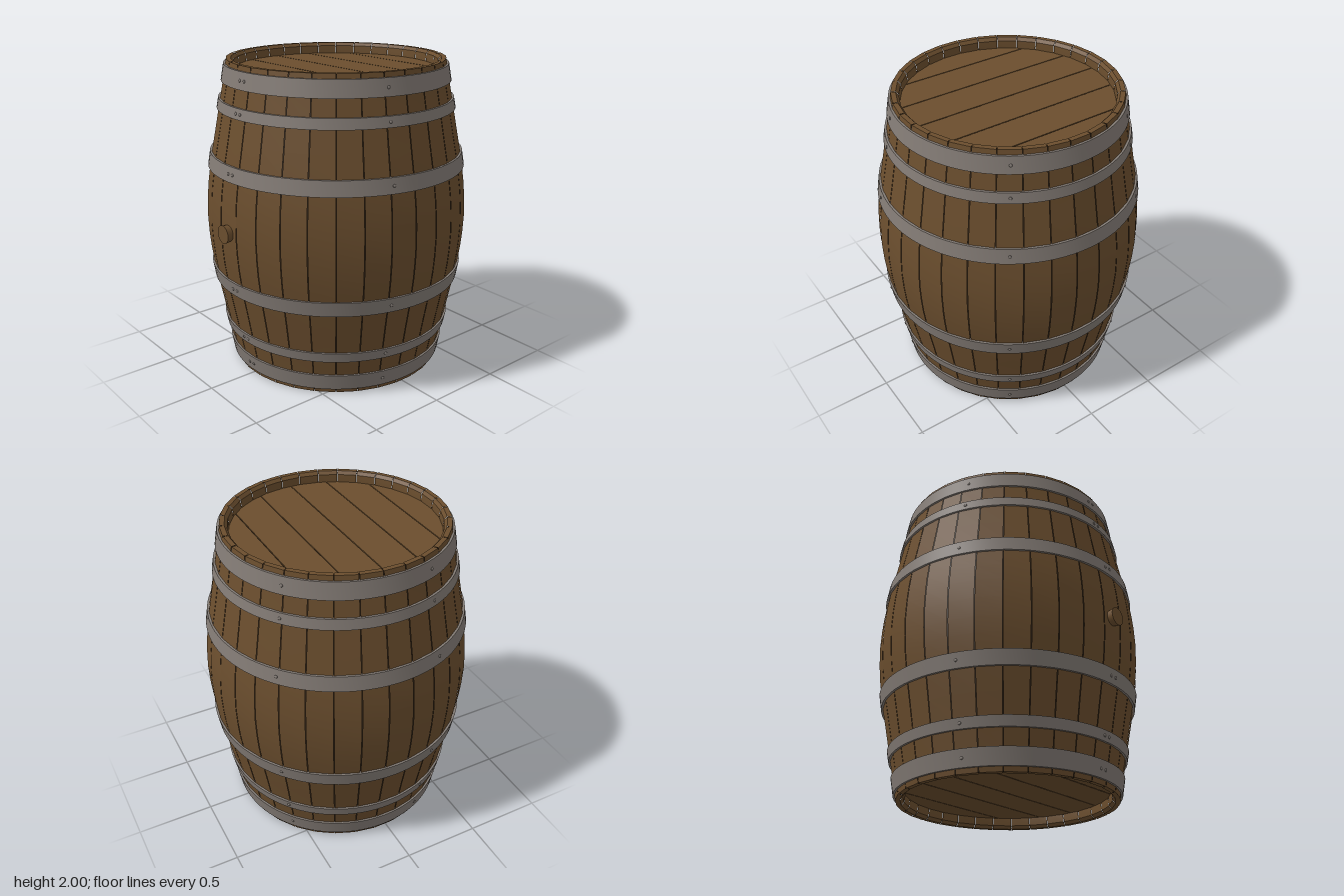
import * as THREE from 'three';
import { toCreasedNormals } from 'three/addons/utils/BufferGeometryUtils.js';

const STAVES = 32;
const STEP = (Math.PI * 2) / STAVES;
const V = (r, y) => new THREE.Vector2(r, y);

// Upper half of the bulging outline, as [height above the middle, radius]
const OUTLINE = [[0, 0.848], [0.12, 0.843], [0.22, 0.834], [0.33, 0.818], [0.42, 0.803],
  [0.56, 0.775], [0.7, 0.748], [0.87, 0.715], [1, 0.692]];

function radiusAt(y) {
  const d = Math.abs(y - 1);
  for (let i = 1; i < OUTLINE.length; i++) {
    const [d0, r0] = OUTLINE[i - 1], [d1, r1] = OUTLINE[i];
    if (d <= d1) return r0 + ((r1 - r0) * (d - d0)) / (d1 - d0);
  }
  return 0.692;
}

export function createModel() {
  const wood = new THREE.MeshStandardMaterial({ color: 0x6b4e2e });
  wood.name = 'oak';
  const iron = new THREE.MeshStandardMaterial({ color: 0x837b75 });
  iron.name = 'iron';
  const dark = new THREE.MeshStandardMaterial({ color: 0x2a1e12 });
  dark.name = 'darkSeam';

  const barrel = new THREE.Group();
  barrel.name = 'barrel';
  barrel.position.z = -0.018;
  const add = (name, geometry, material, parent = barrel) => {
    const mesh = new THREE.Mesh(geometry, material);
    mesh.name = name;
    parent.add(mesh);
    return mesh;
  };

  // Staves: a closed profile swept over one flat-faced segment each
  const heights = [...OUTLINE.slice(1).reverse().map(([d]) => 1 - d), ...OUTLINE.map(([d]) => 1 + d)];
  const outer = heights.map((y) => V(radiusAt(y), y));
  const inner = [V(0.662, 2), V(0.645, 1.98), V(0.64, 1.9), V(0.77, 1.2),
    V(0.77, 0.8), V(0.64, 0.1), V(0.645, 0.02), V(0.662, 0)];
  const gap = 0.005;
  const staveGeometry = toCreasedNormals(
    new THREE.LatheGeometry([...outer, ...inner, outer[0].clone()], 1, (gap - STEP) / 2, STEP - gap), 0.4);
  const staves = new THREE.Group();
  staves.name = 'staves';
  barrel.add(staves);
  for (let i = 0; i < STAVES; i++) add('stave', staveGeometry, wood, staves).rotation.y = i * STEP;

  // Dark lining seen in the seams between the staves
  const lining = heights.map((y) => V(radiusAt(y) - 0.012, THREE.MathUtils.clamp(y, 0.006, 1.994)));
  lining.push(V(0.668, 1.994));
  lining.unshift(V(0.668, 0.006));
  add('seamLining', toCreasedNormals(new THREE.LatheGeometry(lining, STAVES, -STEP / 2), 0.4), dark);

  // Heads: six planks clipped to a circle over a dark backing
  const R = 0.655;
  const cuts = [-R, -0.47, -0.235, 0, 0.235, 0.47, R];
  for (const [name, y] of [['topHead', 1.9], ['bottomHead', 0.07]]) {
    const head = new THREE.Group();
    head.name = name;
    head.position.y = y;
    barrel.add(head);
    for (let i = 0; i < 6; i++) {
      const a0 = Math.asin(Math.min(1, Math.max(-1, (cuts[i] + (i ? 0.003 : 0)) / R)));
      const a1 = Math.asin(Math.min(1, Math.max(-1, (cuts[i + 1] - (i < 5 ? 0.003 : 0)) / R)));
      const shape = new THREE.Shape();
      shape.absarc(0, 0, R, a0, a1, false);
      shape.absarc(0, 0, R, Math.PI - a1, Math.PI - a0, false);
      const plank = new THREE.ExtrudeGeometry(shape, { depth: 0.03, bevelEnabled: false, curveSegments: 20 });
      add('headPlank', plank.rotateX(-Math.PI / 2), wood, head);
    }
    add('headBacking', new THREE.CylinderGeometry(R - 0.01, R - 0.01, 0.016, 48), dark, head).position.y = 0.015;
  }

  // Hoops with rivets, mirrored about the middle
  const rivetGeometry = new THREE.SphereGeometry(0.01, 10, 6);
  const hoops = [[1.865, 1.97], [1.695, 1.76], [1.325, 1.42]];
  for (const [a, b] of [...hoops, ...hoops.map(([a, b]) => [2 - b, 2 - a])]) {
    const hoop = new THREE.Group();
    hoop.name = 'hoop';
    barrel.add(hoop);
    const ra = radiusAt(a), rb = radiusAt(b), t = 0.011;
    const ring = [V(ra - 0.012, a), V(ra + t, a), V(rb + t, b), V(rb - 0.012, b)];
    add('hoopBand', toCreasedNormals(new THREE.LatheGeometry(ring, 96), 0.5), iron, hoop);
    const y = (a + b) / 2, r = (ra + rb) / 2 + t;
    const angles = [-0.01 / r];
    for (let i = 0; i < 5; i++) angles.push(0.034 / r + (i * Math.PI * 2) / 5);
    for (const angle of angles) {
      const rivet = add('rivet', rivetGeometry, iron, hoop);
      rivet.position.set(r * Math.sin(angle), y, r * Math.cos(angle));
      rivet.rotation.y = angle;
      rivet.scale.z = 0.6;
    }
  }

  // Bung: a tapered plug, wider outside
  const bung = add('bung', new THREE.CylinderGeometry(0.058, 0.045, 0.07, 24), wood);
  bung.rotation.x = Math.PI / 2;
  bung.position.set(0, 1.005, 0.849);

  const model = new THREE.Group();
  model.name = 'model';
  model.add(barrel);
  return model;
}
